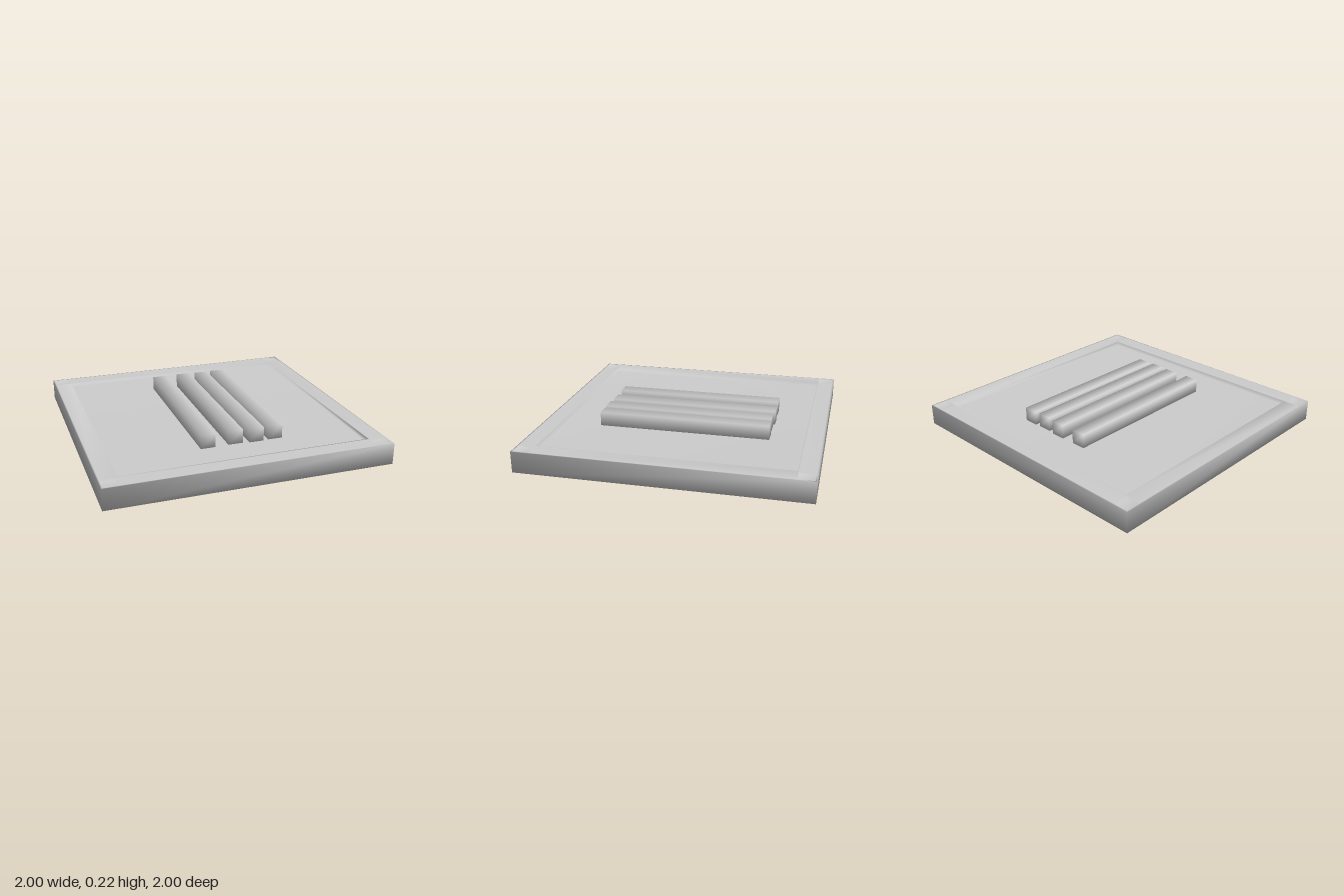
import * as THREE from 'three';
import { mergeGeometries, mergeVertices } from 'three/addons/utils/BufferGeometryUtils.js';

const TOP = 0.15, FLOOR = 0.12, POCKET = 0.135;

// Weld all corners so the shading runs smoothly across the edges
function soften(geometry) {
  geometry.deleteAttribute('normal');
  geometry.deleteAttribute('uv');
  const welded = mergeVertices(geometry, 1e-3);
  welded.computeVertexNormals();
  return welded;
}

// Box without its lid; inward turns it into the lining of a recess
function openBox(x, z, size, y0, y1, inward) {
  const g = new THREE.BoxGeometry(size, y1 - y0, size).translate(x, (y0 + y1) / 2, z);
  const index = Array.from(g.index.array);
  index.splice(12, 6);
  g.setIndex(inward ? index.reverse() : index);
  return g;
}

function squarePath(path, x, y, size) {
  const h = size / 2;
  path.moveTo(x - h, y - h);
  path.lineTo(x + h, y - h);
  path.lineTo(x + h, y + h);
  path.lineTo(x - h, y + h);
  path.closePath();
  return path;
}

function trayGeometry() {
  // Wide central recess and a small pocket in each corner
  const recesses = [{ x: 0, z: 0, size: 1.74, y: FLOOR }];
  for (const x of [-0.935, 0.935])
    for (const z of [-0.935, 0.935]) recesses.push({ x, z, size: 0.11, y: POCKET });

  const rim = squarePath(new THREE.Shape(), 0, 0, 2);
  for (const r of recesses) rim.holes.push(squarePath(new THREE.Path(), r.x, -r.z, r.size));
  const parts = [
    new THREE.ShapeGeometry(rim).rotateX(-Math.PI / 2).translate(0, TOP, 0),
    openBox(0, 0, 2, 0, TOP, false),
    ...recesses.map(r => openBox(r.x, r.z, r.size, r.y, TOP, true)),
  ];
  return soften(mergeGeometries(parts));
}

export function createModel() {
  const group = new THREE.Group();
  const material = new THREE.MeshStandardMaterial({ color: 0xcccccc });

  const tray = new THREE.Mesh(trayGeometry(), material);
  tray.name = 'tray';
  group.add(tray);

  // Four loose sticks lying in the tray: x centre, back z, front z
  const sticks = [
    [-0.19, -0.625, 0.6],
    [0.01, -0.63, 0.595],
    [0.16, -0.62, 0.605],
    [0.3, -0.625, 0.6],
  ];
  sticks.forEach(([x, back, front], i) => {
    const geometry = soften(new THREE.BoxGeometry(0.105, 0.1, front - back));
    const stick = new THREE.Mesh(geometry, material);
    stick.position.set(x, FLOOR + 0.05, (back + front) / 2);
    stick.name = 'stick' + (i + 1);
    group.add(stick);
  });

  return group;
}
